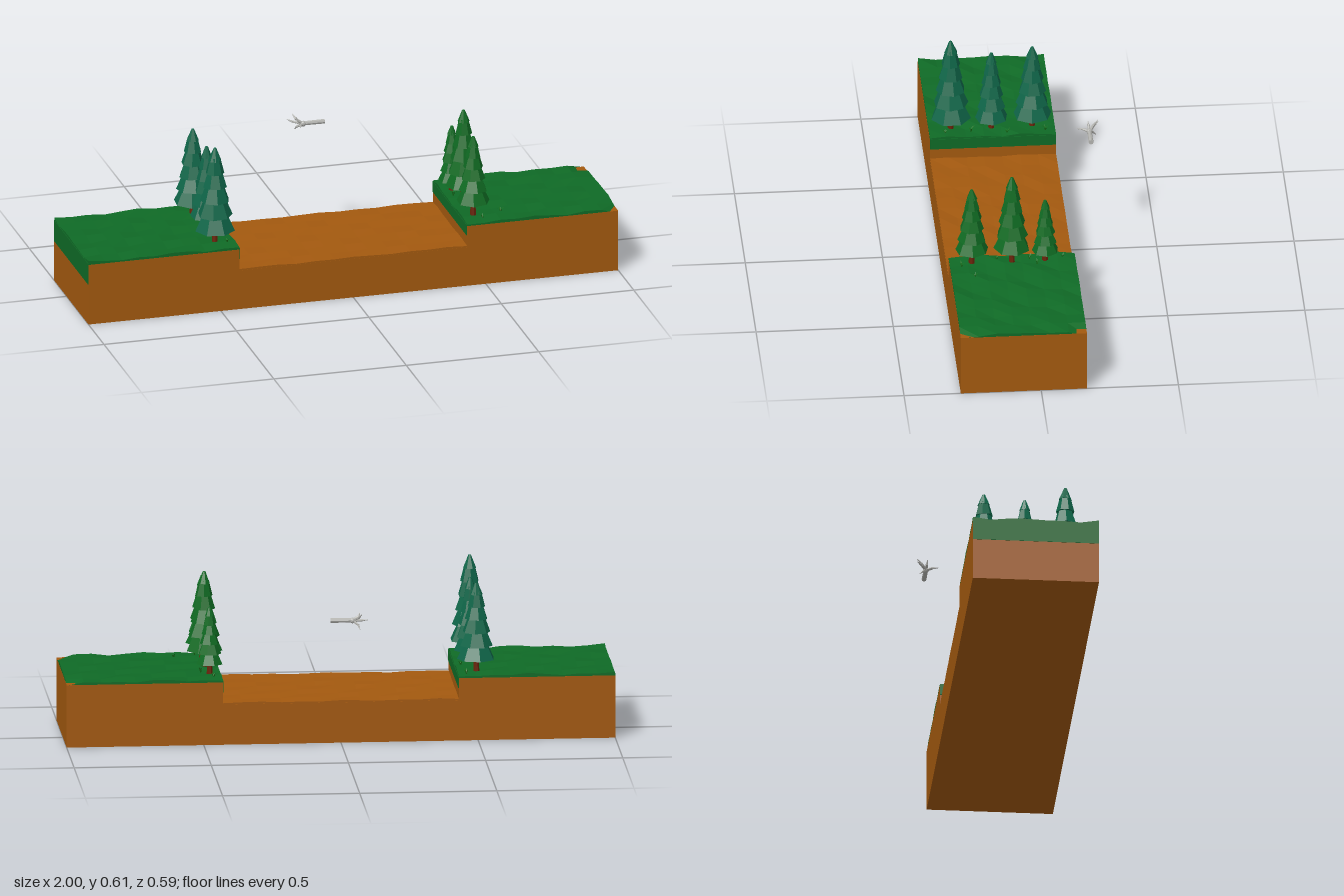
import * as THREE from 'three';

const paint = (name, color, extra = {}) => {
  const m = new THREE.MeshStandardMaterial({ color, flatShading: true, ...extra });
  m.name = name;
  return m;
};

// small seeded generator
function seeded(seed) {
  return () => {
    seed = (seed * 16807) % 2147483647;
    return seed / 2147483647;
  };
}

const FRONT = 0.293, BACK = -0.167, DEPTH = FRONT - BACK, MID = (FRONT + BACK) / 2;
const BANK = 0.232, BED = 0.15, EDGE = 0.43;

export function createModel() {
  const model = new THREE.Group();
  const rand = seeded(4711);
  const earth = paint('earth', 0xa3590f);
  const turf = paint('turf', 0x0f6a26);
  const pine = paint('pine green', 0x0f6a22);
  const spruce = paint('spruce blue green', 0x0f6649);
  const bark = paint('bark', 0x6b240a);
  const blade = paint('grass blade', 0x176f1a, { side: THREE.DoubleSide });
  const bone = paint('pale grey', 0xb4b4b0);

  const add = (name, geo, mat, parent = model) => {
    const mesh = new THREE.Mesh(geo, mat);
    mesh.name = name;
    parent.add(mesh);
    return mesh;
  };

  // earth block with a wide trench
  const profile = new THREE.Shape([
    [-1, 0], [1, 0], [1, BANK], [EDGE, BANK], [EDGE, BED], [-EDGE, BED], [-EDGE, BANK], [-1, BANK],
  ].map(([x, y]) => new THREE.Vector2(x, y)));
  const block = new THREE.ExtrudeGeometry(profile, { depth: DEPTH, bevelEnabled: false });
  add('earthBlock', block.translate(0, 0, BACK), earth);

  // bumpy slab: the upper vertices follow a height rule
  function slab(name, x0, x1, y, nx, nz, height, mat) {
    const geo = new THREE.BoxGeometry(x1 - x0, 0.004, DEPTH - 0.001, nx, 1, nz);
    geo.translate((x0 + x1) / 2, y, MID);
    const p = geo.attributes.position;
    for (let i = 0; i < p.count; i++) {
      if (p.getY(i) > y) p.setY(i, height(p.getX(i), p.getZ(i)));
    }
    geo.computeVertexNormals();
    add(name, geo, mat);
  }
  const wave = (x, z) =>
    0.5 + 0.25 * Math.sin(x * 37 + z * 23) + 0.25 * Math.sin(x * 19 - z * 41 + 1.3);
  const turfHeight = (x, z) => {
    const corner = x > 0.99 && Math.abs(z - MID) > DEPTH / 2 - 0.01;
    return corner ? 0.222 : 0.235 + 0.013 * wave(x, z);
  };
  slab('leftBankTurf', EDGE, 0.9995, BANK, 9, 7, turfHeight, turf);
  slab('rightBankTurf', -0.9995, -EDGE, BANK, 9, 7, turfHeight, turf);
  slab('trenchBed', -EDGE, EDGE, BED, 12, 7, (x, z) => 0.153 + 0.006 * wave(x, z), earth);

  // turf hanging over the trench walls and one end
  const overhang = (name, x, low) => add(name,
    new THREE.BoxGeometry(0.004, 0.236 - low, DEPTH - 0.002)
      .translate(x, (0.236 + low) / 2, MID), turf);
  overhang('leftWallTurf', EDGE, 0.195);
  overhang('rightWallTurf', -EDGE, 0.195);
  overhang('endTurf', -0.9995, 0.155);

  // conifers: stacked, slightly turned and tilted skirts on a trunk
  function tree(x, z, top, base, radius, mat) {
    const g = new THREE.Group();
    g.name = 'conifer';
    g.position.set(x, 0, z);
    const tiers = 6, H = top - base;
    const turn = rand() * 6;
    for (let i = 0; i < tiers; i++) {
      const t = i / tiers;
      const low = base + H * (1 - Math.pow(1 - t, 1.12)) * 0.98;
      const tNext = Math.min(1, (i + 1.25) / tiers);
      const high = i === tiers - 1 ? top : base + H * (1 - Math.pow(1 - tNext, 1.12)) * 0.98;
      const r = radius * (1 - 0.8 * t);
      const rTop = i === tiers - 1 ? 0.005 : r * 0.56;
      const skirt = add('branches', new THREE.CylinderGeometry(rTop, r, high - low, 7), mat, g);
      skirt.position.y = (low + high) / 2;
      skirt.rotation.set((rand() - 0.5) * 0.06, turn + i * 0.3, (rand() - 0.5) * 0.06);
    }
    add('trunk', new THREE.CylinderGeometry(0.009, 0.012, base - 0.21, 7), bark, g)
      .position.y = (base + 0.23) / 2;
    model.add(g);
  }
  tree(-0.5, 0.212, 0.605, 0.288, 0.074, spruce);
  tree(-0.49, 0.065, 0.555, 0.284, 0.06, spruce);
  tree(-0.5, -0.085, 0.568, 0.285, 0.07, spruce);
  tree(0.475, 0.212, 0.547, 0.295, 0.061, pine);
  tree(0.48, 0.066, 0.595, 0.302, 0.067, pine);
  tree(0.47, -0.056, 0.488, 0.278, 0.049, pine);

  // grass tufts of bent, tapering blades
  const leaf = new THREE.BufferGeometry();
  leaf.setAttribute('position', new THREE.Float32BufferAttribute(
    [-0.002, 0, 0, 0.002, 0, 0, 0.002, 0.013, 0.005, -0.002, 0.013, 0.005, 0, 0.02, 0.014], 3));
  leaf.setIndex([0, 1, 2, 0, 2, 3, 3, 2, 4]);
  leaf.computeVertexNormals();
  const tufts = [[0.58, 0.208], [0.5, 0.25], [0.46, 0.12], [0.46, 0], [0.5, -0.025], [0.46, -0.12],
    [-0.46, 0.235], [-0.47, 0.14], [-0.45, 0.01], [-0.46, -0.13]];
  for (const [x, z] of tufts) {
    const g = new THREE.Group();
    g.name = 'grassTuft';
    g.position.set(x, 0.238, z);
    for (let i = 0; i < 6; i++) {
      const b = add('blade', leaf, blade, g);
      b.rotation.y = i * 1.05 + rand();
      b.scale.setScalar(0.75 + rand() * 0.4);
    }
    model.add(g);
  }

  // floating claw: a forearm and five spread, tapering fingers
  const claw = new THREE.Group();
  claw.name = 'floatingClaw';
  const wrist = new THREE.Vector3(-0.035, 0.475, -0.257);
  const arm = add('forearm', new THREE.CylinderGeometry(0.008, 0.009, 0.085, 8), bone, claw);
  arm.rotation.z = Math.PI / 2;
  arm.position.set(0.003, 0.476, -0.257);
  const palm = add('palm', new THREE.IcosahedronGeometry(0.011, 1), bone, claw);
  palm.position.copy(wrist);
  const segment = (a, b, ra, rb) => {
    const d = b.clone().sub(a);
    const m = add('finger', new THREE.CylinderGeometry(rb, ra, d.length(), 6), bone, claw);
    m.position.copy(a).addScaledVector(d, 0.5);
    m.quaternion.setFromUnitVectors(new THREE.Vector3(0, 1, 0), d.normalize());
  };
  const tips = [[-0.055, 0.477, -0.213], [-0.062, 0.504, -0.253], [-0.066, 0.504, -0.291],
    [-0.087, 0.484, -0.293], [-0.06, 0.447, -0.283]];
  for (const t of tips) {
    const tip = new THREE.Vector3(...t);
    const knuckle = wrist.clone().lerp(tip, 0.5);
    knuckle.x -= 0.007;
    segment(wrist, knuckle, 0.006, 0.0045);
    segment(knuckle, tip, 0.0045, 0.001);
  }
  model.add(claw);
  return model;
}
